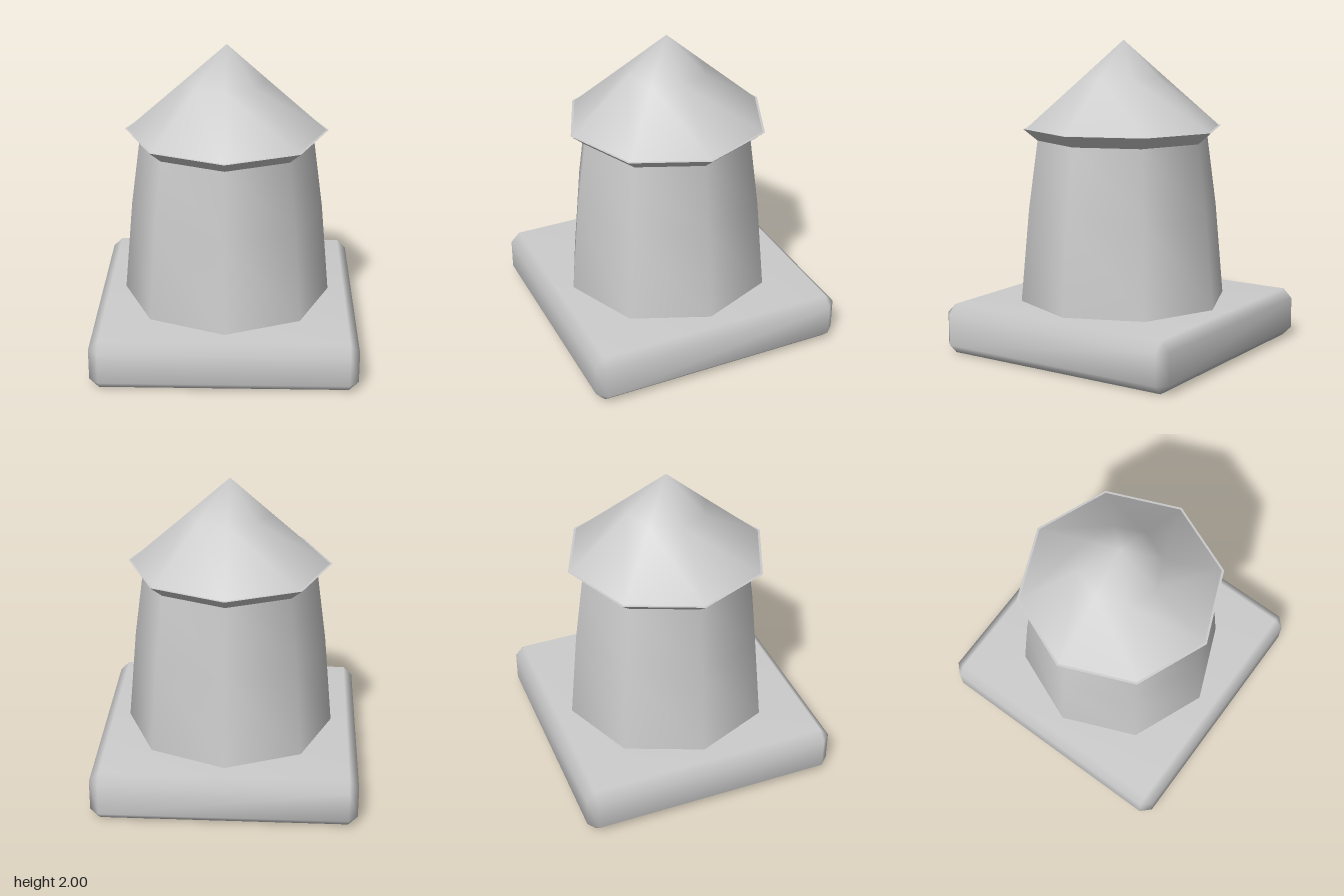
import * as THREE from 'three';
import { mergeVertices } from 'three/addons/utils/BufferGeometryUtils.js';
import { ConvexGeometry } from 'three/addons/geometries/ConvexGeometry.js';

const SIDES = 8;

// Weld shared corners and average the normals across them
function smooth(geometry) {
  geometry.deleteAttribute('normal');
  geometry.deleteAttribute('uv');
  const welded = mergeVertices(geometry, 1e-4);
  welded.computeVertexNormals();
  return welded;
}

// Eight-sided turned shape from [radius, height] pairs, listed bottom to top
function turned(profile) {
  const points = profile.map(([r, y]) => new THREE.Vector2(r, y));
  return smooth(new THREE.LatheGeometry(points, SIDES));
}

// Box standing on y = 0 with all edges and corners cut by c
function bevelledBox(half, height, c) {
  const points = [];
  const h = height / 2;
  for (const sx of [-1, 1]) for (const sy of [-1, 1]) for (const sz of [-1, 1]) {
    for (const [a, b, d] of [[0, c, c], [c, 0, c], [c, c, 0]]) {
      points.push(new THREE.Vector3(sx * (half - a), h + sy * (h - b), sz * (half - d)));
    }
  }
  return smooth(new ConvexGeometry(points));
}

export function createModel() {
  const group = new THREE.Group();
  const stone = new THREE.MeshStandardMaterial({ color: 0xcccccc });
  stone.name = 'pale grey';

  const add = (name, geometry) => {
    const mesh = new THREE.Mesh(geometry, stone);
    mesh.name = name;
    group.add(mesh);
  };

  // Square plinth
  add('plinth', bevelledBox(0.84, 0.32, 0.06));

  // Tapered tower wall with a slight swell
  add('towerWall', turned([[0.675, 0.315], [0.62, 0.92], [0.56, 1.365]]));

  // Flared underside of the roof, its narrow rim and the cone above
  add('eaveUnderside', turned([[0.56, 1.365], [0.65, 1.44]]));
  add('eaveRim', turned([[0.65, 1.44], [0.635, 1.441]]));
  add('roof', turned([[0.635, 1.441], [0.26, 1.77], [0, 2]]));

  return group;
}
